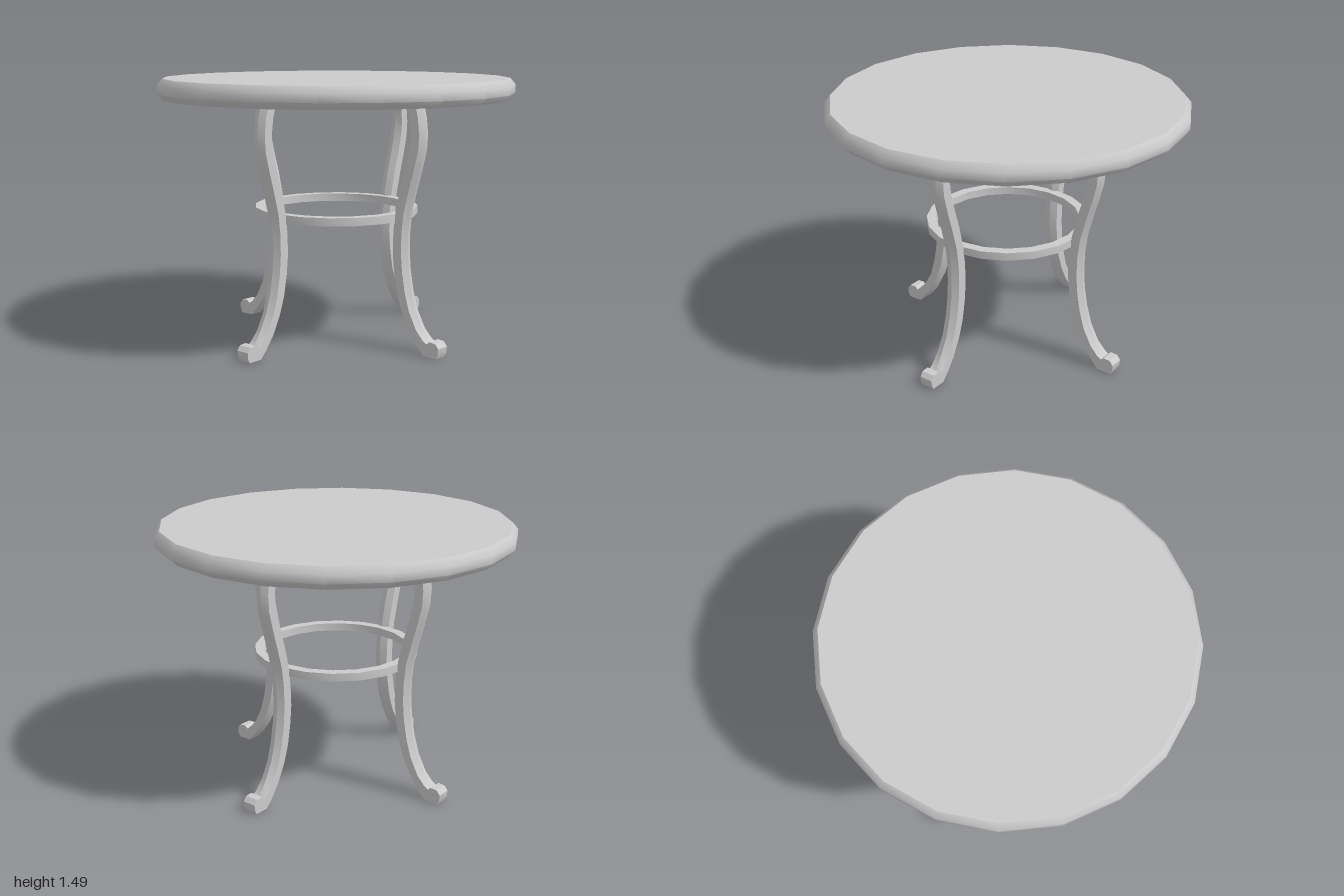
import * as THREE from 'three';
import { toCreasedNormals } from 'three/addons/utils/BufferGeometryUtils.js';

const material = new THREE.MeshStandardMaterial({ color: 0xcccccc });

function addMesh(parent, name, geometry) {
  const mesh = new THREE.Mesh(geometry, material);
  mesh.name = name;
  parent.add(mesh);
  return mesh;
}

const lathe = (points) =>
  new THREE.LatheGeometry(points.map(([r, y]) => new THREE.Vector2(r, y)), 20);

// Leg sections from top to toe: outer edge (r, y), inner edge (r, y), ridge height
const RIDGE = 0.016;
const LEG = [
  [0.595, 1.39, 0.505, 1.39, RIDGE],
  [0.62, 1.29, 0.535, 1.28, RIDGE],
  [0.63, 1.2, 0.545, 1.2, RIDGE],
  [0.624, 1.11, 0.537, 1.12, RIDGE],
  [0.596, 1.0, 0.512, 1.02, RIDGE],
  [0.564, 0.89, 0.478, 0.91, RIDGE],
  [0.532, 0.77, 0.447, 0.78, RIDGE],
  [0.519, 0.66, 0.432, 0.66, RIDGE],
  [0.517, 0.55, 0.429, 0.54, RIDGE],
  [0.525, 0.45, 0.44, 0.43, RIDGE],
  [0.544, 0.34, 0.463, 0.31, RIDGE],
  [0.575, 0.235, 0.498, 0.21, RIDGE],
  [0.625, 0.14, 0.55, 0.11, RIDGE],
  [0.665, 0.09, 0.61, 0.04, 0.01],
  [0.68, 0.07, 0.66, 0, 0],
  [0.698, 0.086, 0.69, 0, 0],
  [0.738, 0.083, 0.725, 0, 0],
  [0.759, 0.058, 0.74, 0, 0],
  [0.757, 0.026, 0.745, 0, 0],
];

// Six-sided section with flat sides and a ridge on the outer and inner faces
function legGeometry() {
  const w = 0.04, positions = [], index = [];
  for (const [ox, oy, ix, iy, ridge] of LEG) {
    const outer = new THREE.Vector2(ox, oy), inner = new THREE.Vector2(ix, iy);
    const step = inner.clone().sub(outer).setLength(ridge);
    const a = outer.clone().add(step), b = inner.clone().sub(step);
    for (const [p, z] of [[outer, 0], [a, w], [b, w], [inner, 0], [b, -w], [a, -w]]) {
      positions.push(p.x, p.y, z);
    }
  }
  const last = (LEG.length - 1) * 6;
  for (let i = 0; i < last; i += 6) {
    for (let j = 0; j < 6; j++) {
      const k = (j + 1) % 6;
      index.push(i + j, i + k, i + 6 + j, i + k, i + 6 + k, i + 6 + j);
    }
  }
  // End caps
  for (let j = 1; j < 5; j++) {
    index.push(0, j + 1, j, last, last + j, last + j + 1);
  }
  const geometry = new THREE.BufferGeometry();
  geometry.setAttribute('position', new THREE.Float32BufferAttribute(positions, 3));
  geometry.setIndex(index);
  return toCreasedNormals(geometry, 0.5);
}

export function createModel() {
  const table = new THREE.Group();
  table.name = 'roundTable';

  // Twenty-sided top with a softened rim
  const top = lathe([[0, 1.37], [0.965, 1.37], [1, 1.405], [1, 1.45], [0.97, 1.485], [0, 1.485]]);
  addMesh(table, 'tableTop', toCreasedNormals(top, 0.78));

  // Flat ring bracing the legs
  const ring = lathe([[0.41, 0.715], [0.465, 0.715], [0.465, 0.76], [0.41, 0.76], [0.41, 0.715]]);
  addMesh(table, 'stretcherRing', toCreasedNormals(ring, 0.6));

  // Four curved legs with scrolled feet
  const leg = legGeometry();
  ['leftLeg', 'backLeg', 'rightLeg', 'frontLeg'].forEach((name, i) => {
    addMesh(table, name, leg).rotation.y = (i * Math.PI) / 2;
  });

  return table;
}
